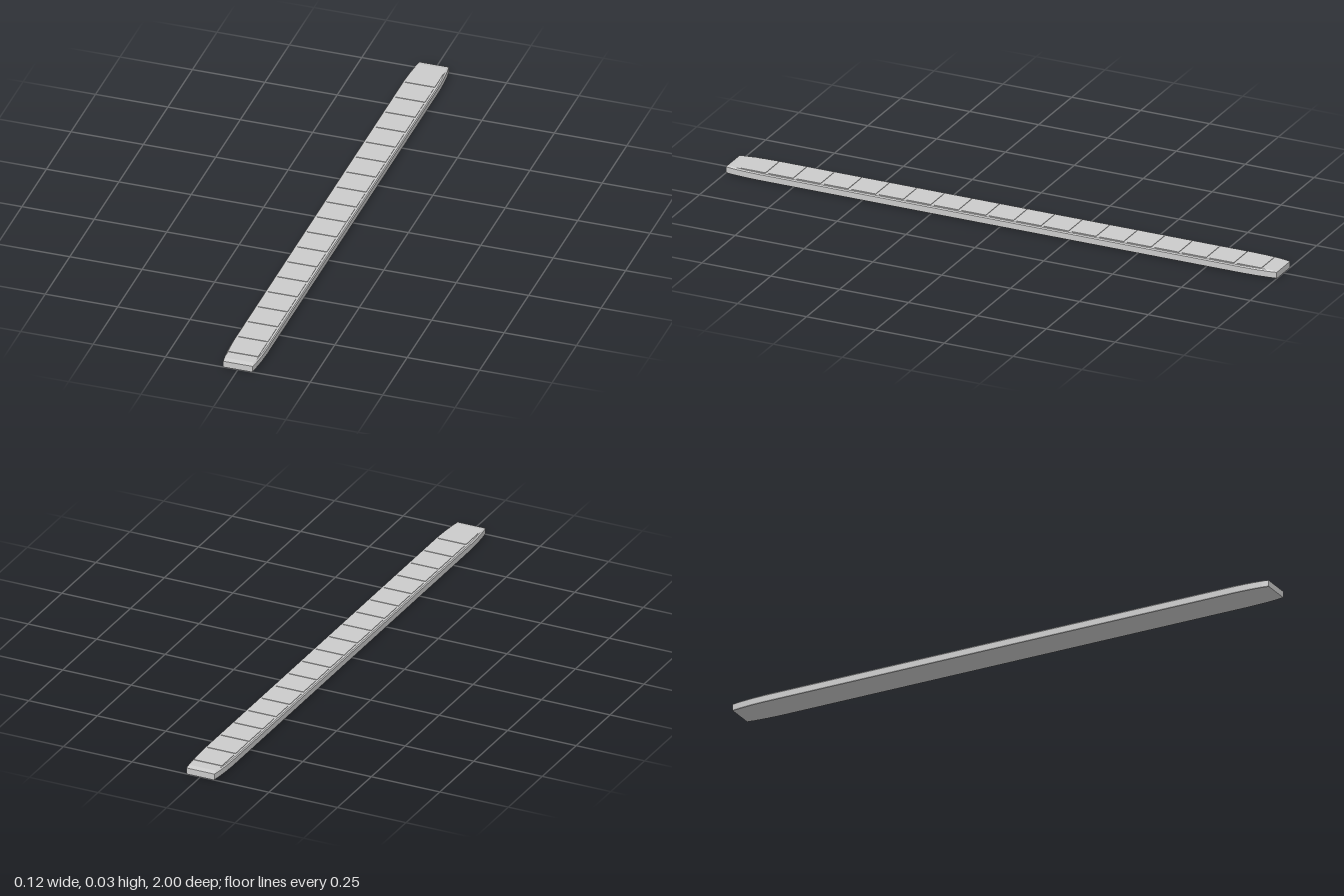
import * as THREE from 'three';
import { ConvexGeometry } from 'three/addons/geometries/ConvexGeometry.js';

export function createModel() {
  const group = new THREE.Group();
  const material = new THREE.MeshStandardMaterial({ color: 0xcccccc, flatShading: true });

  // Quarter outline of the bar seen from above: half width, distance along z
  const outline = [[0.061, 0.88], [0.059, 0.93], [0.055, 0.975], [0.051, 1]];
  // Layers from bottom to top: height, inset of the sides, inset of the ends
  const layers = [[0, 0.002, 0], [0.003, 0, 0], [0.022, 0, 0], [0.026, 0.003, 0.018]];

  // Bar with tapered ends and slightly bevelled edges
  const points = [];
  for (const [y, sideInset, endInset] of layers)
    for (const [x, z] of outline)
      for (const sx of [-1, 1])
        for (const sz of [-1, 1])
          points.push(new THREE.Vector3(sx * (x - sideInset), y, sz * z * (1 - endInset)));
  const bar = new THREE.Mesh(new ConvexGeometry(points), material);
  bar.name = 'bar';
  group.add(bar);

  // Row of thin raised plates along the top
  const count = 19, pitch = 0.1;
  const plateGeometry = new THREE.BoxGeometry(0.102, 0.004, 0.088);
  const plates = new THREE.Group();
  plates.name = 'topPlates';
  for (let i = 0; i < count; i++) {
    const plate = new THREE.Mesh(plateGeometry, material);
    plate.name = 'plate' + (i + 1);
    plate.position.set(0, 0.0258, (i - (count - 1) / 2) * pitch);
    plates.add(plate);
  }
  group.add(plates);

  return group;
}
